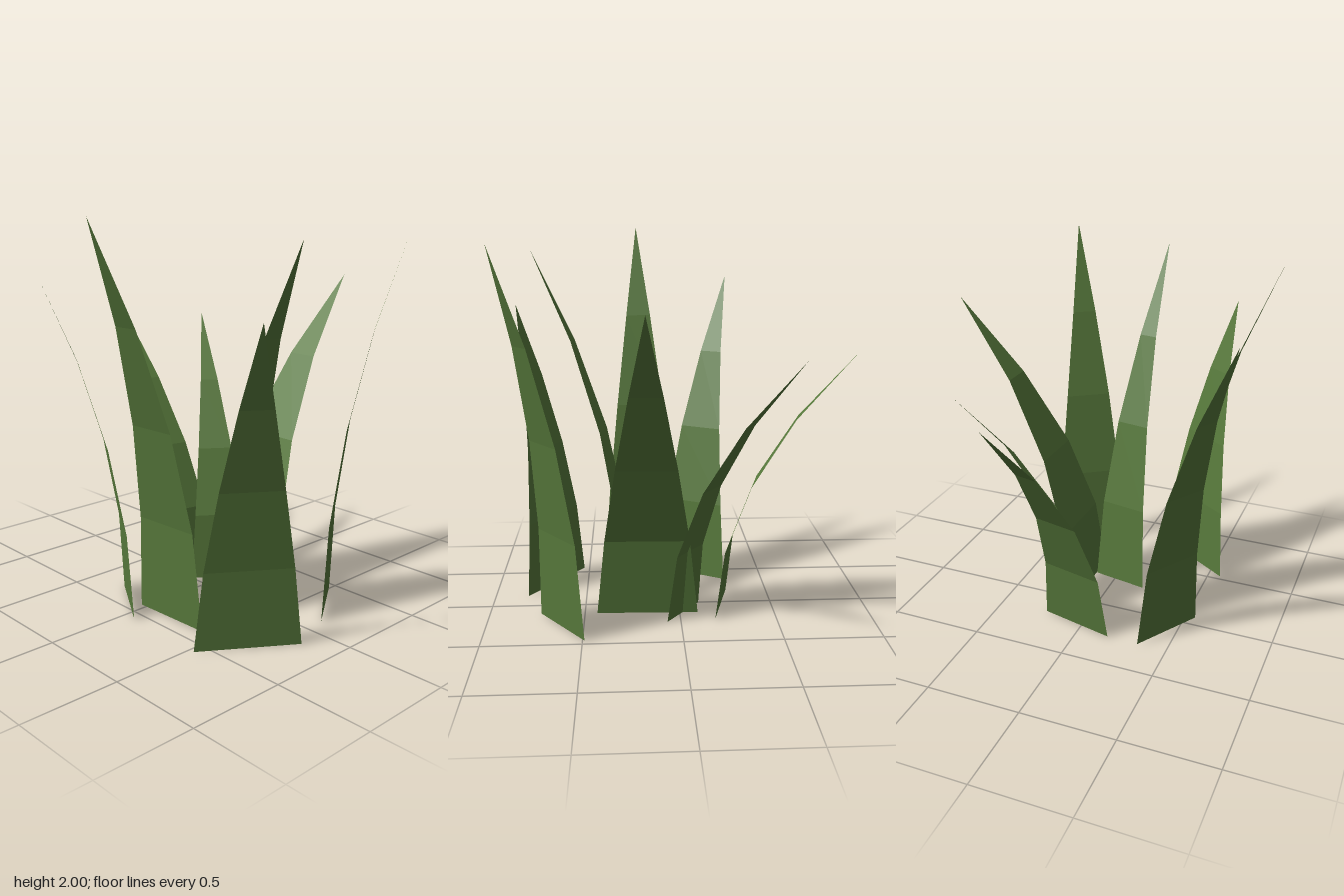
import * as THREE from 'three';

const ROWS = 4;

// One flat blade: a tapering strip rising evenly while bending outward quadratically
function bladeGeometry([ax, az], [bx, bz], [tx, tz], height) {
  const cx = (ax + bx) / 2, cz = (az + bz) / 2;
  const hx = (bx - ax) / 2, hz = (bz - az) / 2;
  const edge = (i, side) => {
    const t = i / ROWS, bend = t * t, w = side * (1 - Math.pow(t, 1.3));
    return [cx + (tx - cx) * bend + hx * w, height * t, cz + (tz - cz) * bend + hz * w];
  };
  const pos = [];
  for (let i = 0; i < ROWS; i++) {
    const a = edge(i, -1), b = edge(i, 1), c = edge(i + 1, 1), d = edge(i + 1, -1);
    pos.push(...a, ...b, ...c);
    if (i < ROWS - 1) pos.push(...a, ...c, ...d); // last row closes to a point
  }
  const geo = new THREE.BufferGeometry();
  geo.setAttribute('position', new THREE.Float32BufferAttribute(pos, 3));
  geo.computeVertexNormals();
  return geo;
}

export function createModel() {
  const group = new THREE.Group();
  group.name = 'grassTuft';
  const green = new THREE.MeshStandardMaterial({ color: 0x587a3c, side: THREE.DoubleSide, flatShading: true });
  green.name = 'leafGreen';

  // name, base corners (x, z), tip (x, z), height; corners run so the face looks outward
  const blades = [
    ['backBlade', [0.23, -0.18], [-0.17, -0.275], [0.19, -0.9], 1.39],
    ['backLeftBlade', [0.255, 0.07], [0, -0.108], [0.51, -0.58], 1.39],
    ['leftBlade', [0.12, 0.435], [0.135, -0.095], [0.88, 0.188], 1.64],
    ['frontLeftBlade', [0.11, 0.73], [0.46, 0.49], [0.48, 0.9], 1.93],
    ['frontBlade', [-0.185, 0.242], [0.12, 0.297], [-0.12, 0.76], 1.9],
    ['frontRightBlade', [-0.57, 0.53], [-0.14, 0.82], [-0.495, 0.88], 1.58],
    ['rightBlade', [-0.42, -0.035], [-0.4, 0.405], [-0.88, 0.203], 2.0],
    ['backRightBlade', [-0.34, -0.28], [-0.555, 0.07], [-0.8, -0.32], 1.72],
  ];
  for (const [name, a, b, tip, height] of blades) {
    const mesh = new THREE.Mesh(bladeGeometry(a, b, tip, height), green);
    mesh.name = name;
    group.add(mesh);
  }
  return group;
}
